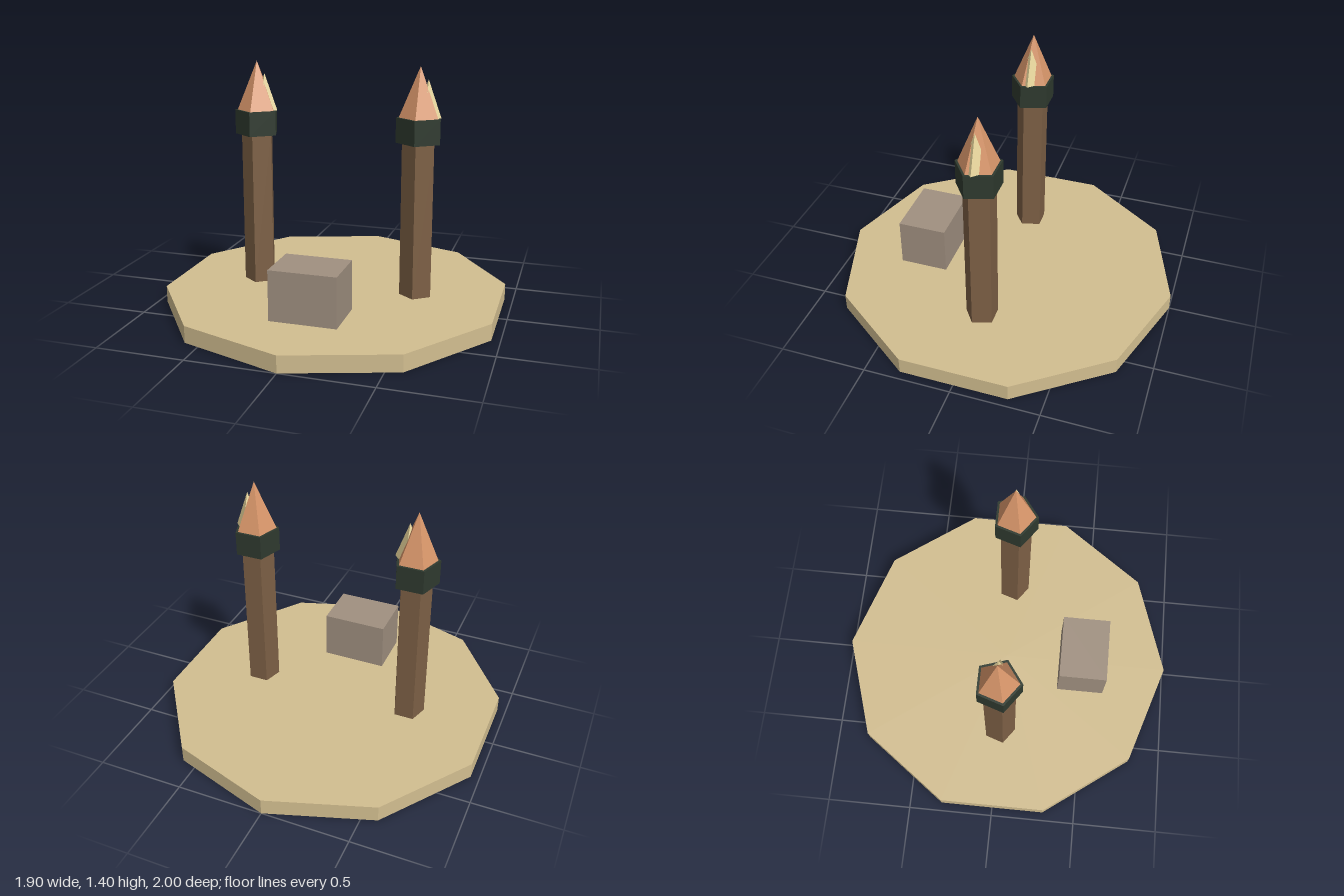
import * as THREE from 'three';

const mat = (color) => new THREE.MeshStandardMaterial({ color, flatShading: true });
const SAND = mat(0xd2be90), STONE = mat(0xa09080), WOOD = mat(0x7d6045),
  IRON = mat(0x2f3a2f), FLAME = mat(0xd8966a), GLOW = mat(0xe8d69c);

function add(parent, name, geometry, material, x, y, z) {
  const mesh = new THREE.Mesh(geometry, material);
  mesh.name = name;
  mesh.position.set(x, y, z);
  parent.add(mesh);
  return mesh;
}

// Upright prism or cone spanning y0 to y1
function column(parent, name, rTop, rBottom, y0, y1, sides, material, x = 0) {
  const geometry = new THREE.CylinderGeometry(rTop, rBottom, y1 - y0, sides);
  return add(parent, name, geometry, material, x, (y0 + y1) / 2, 0);
}

// Torch: five-sided post, collar and flame, with a small four-sided inner flame
function createTorch(name, x) {
  const torch = new THREE.Group();
  torch.name = name;
  torch.position.x = x;
  column(torch, 'post', 0.095, 0.095, 0.095, 0.98, 5, WOOD);
  column(torch, 'collar', 0.13, 0.13, 0.98, 1.12, 5, IRON);
  column(torch, 'flame', 0, 0.115, 1.12, 1.4, 5, FLAME);
  column(torch, 'innerFlame', 0, 0.075, 1.12, 1.33, 4, GLOW, 0.045);
  return torch;
}

export function createModel() {
  const model = new THREE.Group();
  model.name = 'torchPlatform';

  // Ten-sided ground slab
  column(model, 'platform', 1, 1, 0, 0.095, 10, SAND);

  // Stone block at the front
  add(model, 'stoneBlock', new THREE.BoxGeometry(0.38, 0.285, 0.285), STONE, 0, 0.2375, 0.476);

  // Pair of torches
  model.add(createTorch('leftTorch', 0.475), createTorch('rightTorch', -0.475));
  return model;
}
